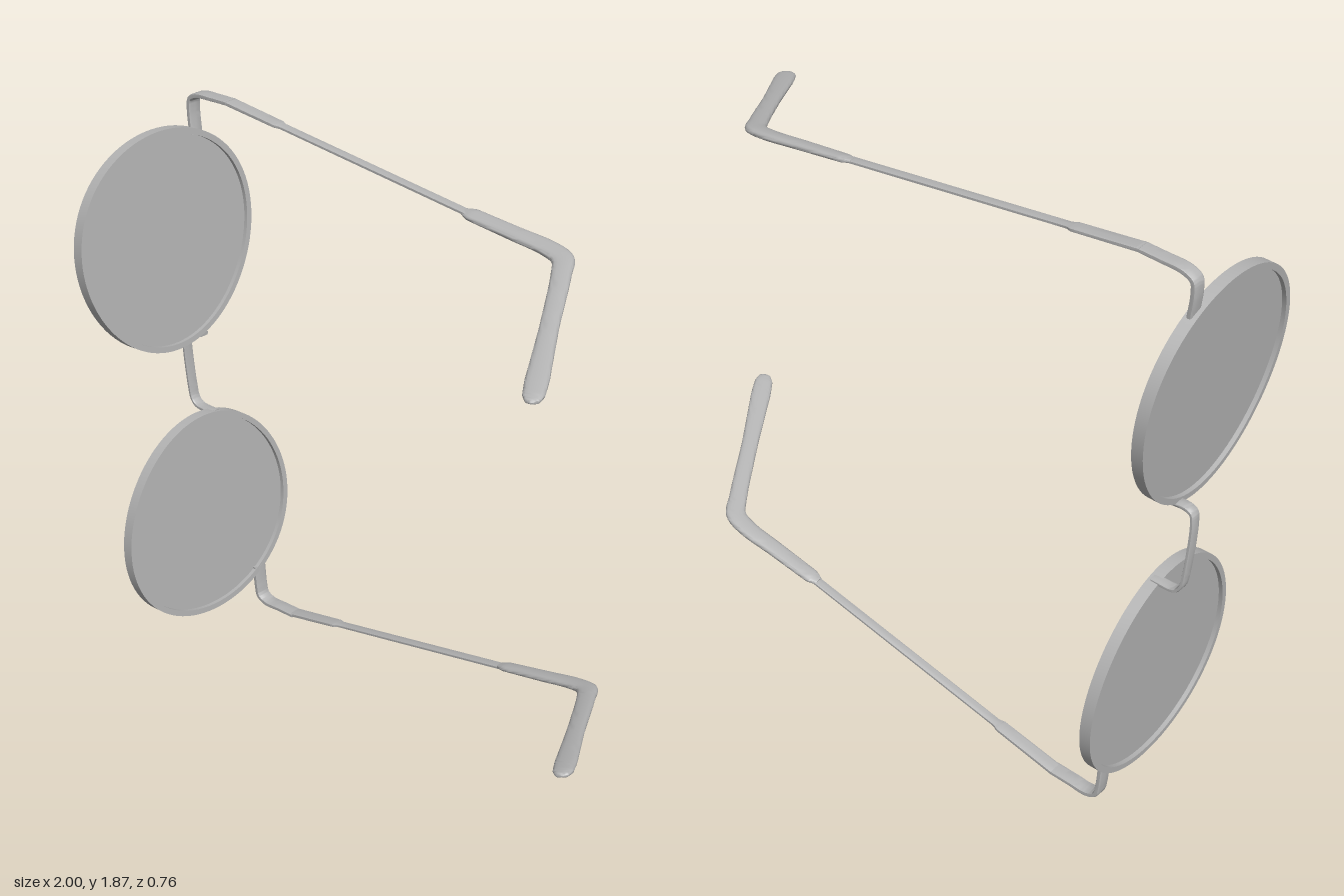
import * as THREE from 'three';
import { toCreasedNormals } from 'three/addons/utils/BufferGeometryUtils.js';

const V = (x, y, z) => new THREE.Vector3(x, y, z);
const metal = new THREE.MeshStandardMaterial({ color: 0xb4b4b4 });
metal.name = 'grey';

// Egg outline of a lens; taper = +1 is wider at the top, -1 wider at the bottom
function outline(inset, taper, n = 96) {
  const pts = [];
  for (let i = 0; i < n; i++) {
    const a = (i / n) * Math.PI * 2;
    pts.push(new THREE.Vector2(
      (0.352 - inset) * Math.cos(a) * (1 + 0.08 * taper * Math.sin(a)),
      (0.363 - inset) * Math.sin(a)));
  }
  return pts;
}

// Rim and flat lens, leaning by the slope of x along y and z
function lensUnit(name, centre, slopeY, slopeZ, taper) {
  const unit = new THREE.Group();
  unit.name = name;
  const plate = (part, shape, depth) => {
    const geo = new THREE.ExtrudeGeometry(shape, { depth, bevelEnabled: false });
    geo.translate(0, 0, -depth / 2);
    const mesh = new THREE.Mesh(toCreasedNormals(geo, 0.6), metal);
    mesh.name = part;
    unit.add(mesh);
  };
  const rim = new THREE.Shape(outline(0, taper));
  rim.holes.push(new THREE.Path(outline(0.019, taper)));
  plate('rim', rim, 0.037);
  plate('lens', new THREE.Shape(outline(0.016, taper)), 0.01);
  const up = V(slopeY, 1, 0).normalize();
  const normal = V(1, -slopeY, -slopeZ).normalize();
  unit.applyMatrix4(new THREE.Matrix4().makeBasis(up.clone().cross(normal), up, normal));
  unit.position.copy(centre);
  return unit;
}

// Sweeps a rounded flat section along a smooth path.
// rows: [x, y, z, width, thickness]; sideAt(tangent) gives the width direction
function strip(name, rows, sideAt, round = 0.5, steps = 8) {
  const curve = new THREE.CatmullRomCurve3(rows.map(r => V(r[0], r[1], r[2])));
  const N = 16, rings = (rows.length - 1) * steps;
  const pos = [], idx = [];
  const power = v => Math.sign(v) * Math.pow(Math.abs(v), round);
  for (let i = 0; i <= rings; i++) {
    const t = i / rings, f = t * (rows.length - 1);
    const k = Math.min(Math.floor(f), rows.length - 2);
    const size = c => THREE.MathUtils.lerp(rows[k][c], rows[k + 1][c], f - k) / 2;
    const p = curve.getPoint(t), tan = curve.getTangent(t);
    const side = sideAt(tan);
    side.addScaledVector(tan, -side.dot(tan)).normalize();
    const thick = tan.clone().cross(side);
    for (let j = 0; j < N; j++) {
      const a = (j / N) * Math.PI * 2;
      const q = p.clone().addScaledVector(side, size(3) * power(Math.cos(a)))
        .addScaledVector(thick, size(4) * power(Math.sin(a)));
      pos.push(q.x, q.y, q.z);
      if (i < rings) {
        const b = i * N, m = (j + 1) % N;
        idx.push(b + j, b + m, b + N + j, b + m, b + N + m, b + N + j);
      }
    }
  }
  // End caps
  const last = rings * N;
  for (let j = 1; j < N - 1; j++) idx.push(0, j + 1, j, last, last + j, last + j + 1);
  const geo = new THREE.BufferGeometry();
  geo.setAttribute('position', new THREE.Float32BufferAttribute(pos, 3));
  geo.setIndex(idx);
  const mesh = new THREE.Mesh(toCreasedNormals(geo, 0.8), metal);
  mesh.name = name;
  return mesh;
}

const alongZ = () => V(0, 0, 1);

// Ear sleeve: straight, then bent within its own plane
function sleeve(name, a, b, c) {
  const d1 = b.clone().sub(a), d2 = c.clone().sub(b);
  const n = d2.clone().cross(d1).normalize();
  const along = (p, d, t) => p.clone().addScaledVector(d, t).toArray();
  const rows = [
    [...along(a, d1, 0), 0.03, 0.012],
    [...along(a, d1, 0.08), 0.052, 0.02],
    [...along(a, d1, 0.5), 0.056, 0.024],
    [...along(b, d1, -0.16), 0.062, 0.025],
    [...b.clone().addScaledVector(d1, -0.02).addScaledVector(d2, 0.03).toArray(), 0.066, 0.025],
    [...along(b, d2, 0.14), 0.058, 0.025],
    [...along(b, d2, 0.5), 0.054, 0.024],
    [...along(b, d2, 0.85), 0.066, 0.022],
    [...along(b, d2, 0.95), 0.06, 0.02],
    [...along(b, d2, 0.99), 0.038, 0.014],
    [...along(b, d2, 1.0), 0.01, 0.006],
  ];
  return strip(name, rows, t => n.clone().cross(t), 0.8);
}

// Arm bar: wide at the hinge, then a slim bar running into the sleeve
function armBar(name, from, to, wide) {
  const at = t => from.clone().lerp(to, t).toArray();
  return strip(name, [
    [...at(0), 0.046, 0.014], [...at(wide), 0.044, 0.012],
    [...at(wide + 0.02), 0.031, 0.01], [...at(1), 0.031, 0.01],
  ], alongZ, 0.4);
}

export function createModel() {
  const model = new THREE.Group();
  model.name = 'eyeglasses';

  // Lenses
  model.add(lensUnit('upperLens', V(-0.949, 1.41, 0.03), -0.093, 0.03, 1));
  model.add(lensUnit('lowerLens', V(-0.865, 0.43, -0.02), -0.063, 0.03, -1));

  // Bridge
  model.add(strip('bridge', [
    [-0.905, 1.063, -0.07, 0.036, 0.014], [-0.965, 1.066, -0.07, 0.036, 0.014],
    [-0.988, 1.055, -0.07, 0.036, 0.012], [-0.994, 1.025, -0.071, 0.036, 0.011],
    [-0.985, 0.84, -0.08, 0.036, 0.011], [-0.977, 0.8, -0.082, 0.036, 0.011],
    [-0.958, 0.781, -0.083, 0.036, 0.012], [-0.88, 0.78, -0.083, 0.036, 0.014],
  ], alongZ, 0.45));

  // Endpieces curving from the rims to the hinges
  model.add(strip('upperEndpiece', [
    [-0.98, 1.72, -0.135, 0.046, 0.016], [-0.989, 1.80, -0.137, 0.046, 0.017],
    [-0.985, 1.835, -0.138, 0.046, 0.017], [-0.955, 1.853, -0.139, 0.046, 0.017],
    [-0.88, 1.861, -0.14, 0.046, 0.015], [-0.81, 1.866, -0.14, 0.046, 0.014],
  ], alongZ, 0.4));
  model.add(strip('lowerEndpiece', [
    [-0.842, 0.14, -0.222, 0.048, 0.016], [-0.836, 0.06, -0.223, 0.048, 0.017],
    [-0.828, 0.026, -0.224, 0.048, 0.017], [-0.796, 0.011, -0.225, 0.048, 0.017],
    [-0.73, 0.016, -0.226, 0.048, 0.015], [-0.66, 0.021, -0.227, 0.048, 0.014],
  ], alongZ, 0.4));

  // Arms
  model.add(armBar('upperArm', V(-0.82, 1.866, -0.14), V(0.2, 1.79, -0.172), 0.21));
  model.add(armBar('lowerArm', V(-0.67, 0.02, -0.228), V(0.33, 0.274, -0.238), 0.21));
  model.add(sleeve('upperSleeve', V(0.15, 1.793, -0.171), V(0.52, 1.77, -0.187), V(0.875, 1.643, 0.335)));
  model.add(sleeve('lowerSleeve', V(0.28, 0.264, -0.237), V(0.635, 0.352, -0.25), V(0.985, 0.488, 0.278)));
  return model;
}
